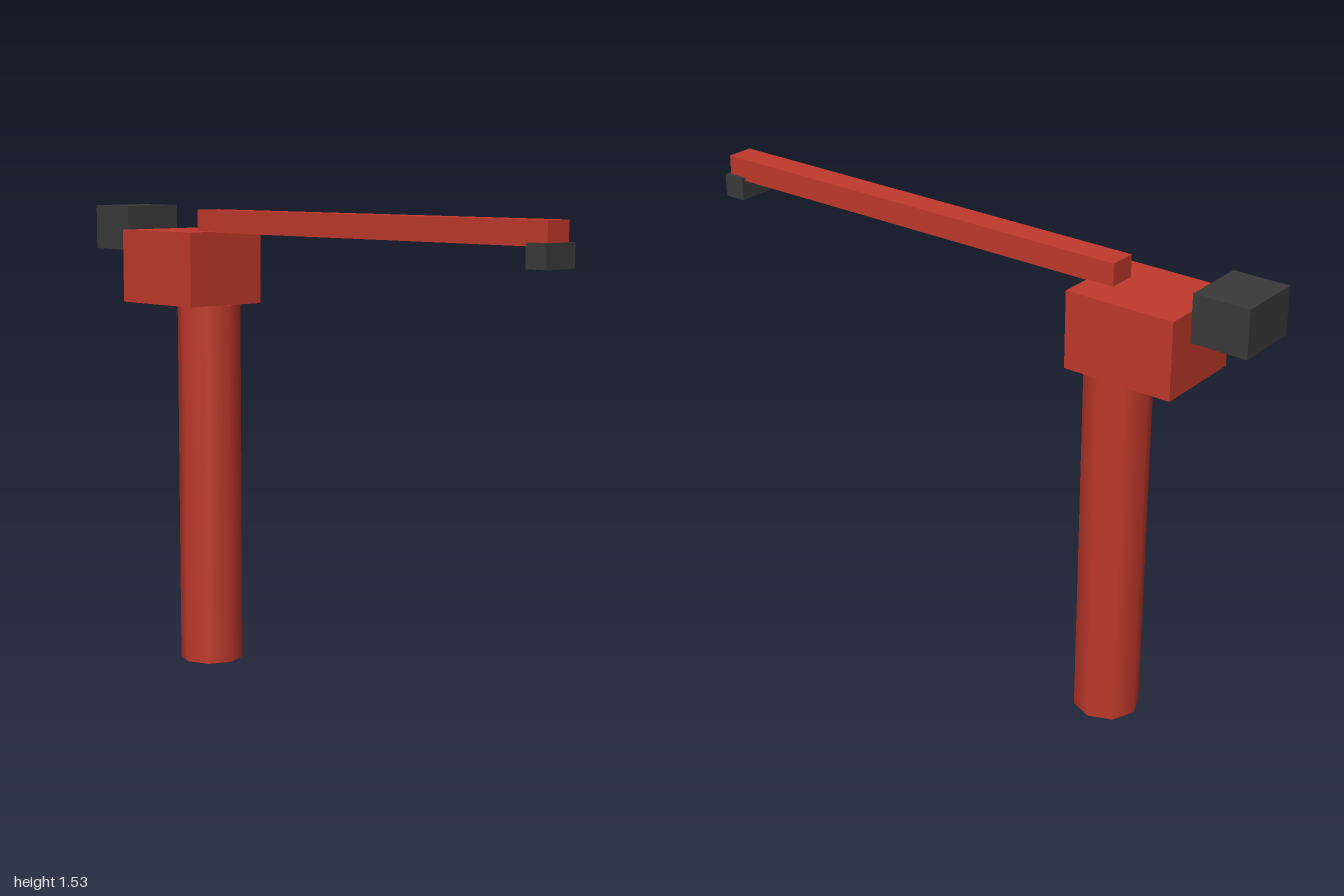
import * as THREE from 'three';

export function createModel() {
  const red = new THREE.MeshStandardMaterial({ name: 'red paint', color: 0xc0392b });
  const dark = new THREE.MeshStandardMaterial({ name: 'dark grey', color: 0x3a3a3a });

  const model = new THREE.Group();
  model.name = 'towerCrane';

  const add = (name, geometry, material, x, y, z) => {
    const mesh = new THREE.Mesh(geometry, material);
    mesh.name = name;
    mesh.position.set(x, y, z);
    model.add(mesh);
  };
  // Box given by its x and y limits and its depth, centred on z = 0
  const addBox = (name, material, x0, x1, y0, y1, depth) =>
    add(name, new THREE.BoxGeometry(x1 - x0, y1 - y0, depth), material, (x0 + x1) / 2, (y0 + y1) / 2, 0);

  // Eight-sided, smooth-shaded tower
  add('tower', new THREE.CylinderGeometry(0.105, 0.105, 1.208, 8), red, -0.52, 0.604, 0);

  // Cab on the tower, with the long jib resting on its roof
  addBox('cab', red, -0.79, -0.43, 1.208, 1.45, 0.3);
  addBox('jib', red, -0.52, 0.99, 1.447, 1.52, 0.09);

  // Counterweight behind the cab and trolley under the jib tip
  addBox('counterweight', dark, -1, -0.82, 1.38, 1.528, 0.21);
  addBox('trolley', dark, 0.925, 1, 1.385, 1.458, 0.12);

  return model;
}
